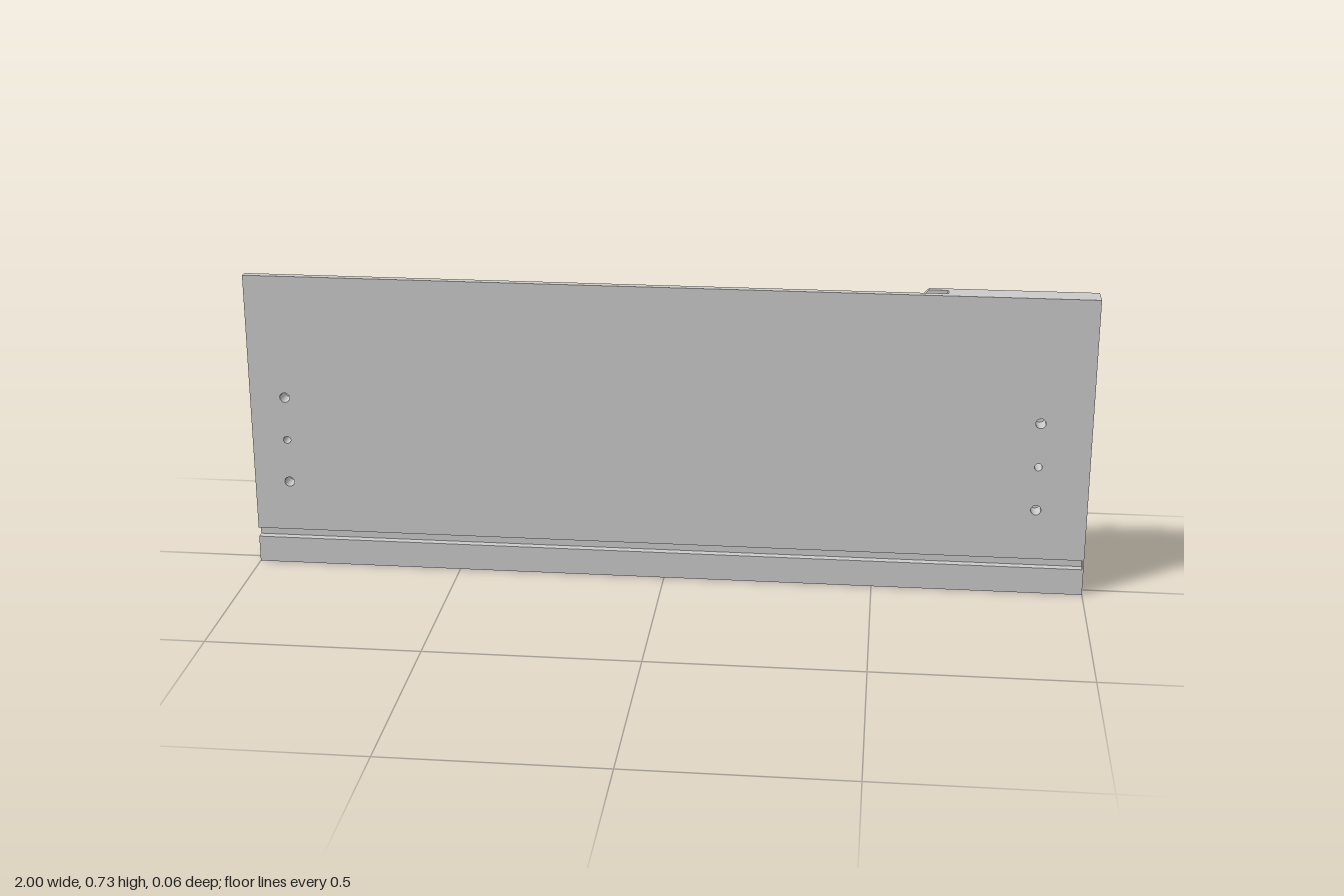
import * as THREE from 'three';

const H = 0.73, Z = 0.03;          // panel height, half thickness
const LEFT = -1, RIGHT = 0.996;    // board ends, the rest is edge banding
const Z_BACK = -0.015, Z_LIP = 0.011;
const GROOVE = [0.065, 0.088];     // bottom-panel groove, low and high edge

const material = new THREE.MeshStandardMaterial({ color: 0xcccccc });

export function createModel() {
  const group = new THREE.Group();
  group.name = 'drawerFront';

  // Extrude an xy outline between two depths
  const layer = (name, shape, z0, z1) => {
    const geo = new THREE.ExtrudeGeometry(shape, { depth: z1 - z0, bevelEnabled: false, curveSegments: 12 });
    geo.translate(0, 0, z0);
    const mesh = new THREE.Mesh(geo, material);
    mesh.name = name;
    group.add(mesh);
  };

  const rect = (y0, y1) => new THREE.Shape([
    new THREE.Vector2(LEFT, y0), new THREE.Vector2(RIGHT, y0),
    new THREE.Vector2(RIGHT, y1), new THREE.Vector2(LEFT, y1),
  ]);

  // Outline whose top drops in a concave curve from xEnd to xFlat
  const scooped = (xEnd, xFlat, yLow) => {
    const s = new THREE.Shape();
    s.moveTo(LEFT, 0);
    s.lineTo(RIGHT, 0);
    s.lineTo(RIGHT, H);
    s.lineTo(xEnd, H);
    s.quadraticCurveTo(xEnd - (xEnd - xFlat) * 0.45, yLow, xFlat, yLow);
    s.lineTo(LEFT, yLow);
    s.closePath();
    return s;
  };

  // Two columns of blind screw holes, the middle ones slightly smaller
  const drill = (shape) => {
    for (const x of [-0.915, 0.88]) {
      for (const [y, r] of [[0.212, 0.012], [0.32, 0.009], [0.428, 0.012]]) {
        const hole = new THREE.Path();
        hole.absarc(x, y, r, 0, Math.PI * 2, true);
        shape.holes.push(hole);
      }
    }
    return shape;
  };

  // Low back wall, finger channel core, and full-height front lip
  layer('backWall', scooped(0.61, 0.5, 0.675), -Z, Z_BACK);
  layer('channelCore', drill(scooped(0.655, 0.57, 0.65)), Z_BACK, Z_LIP);
  layer('frontFace', drill(rect(GROOVE[1], H)), Z_LIP, Z);
  layer('frontFoot', rect(0, GROOVE[0]), Z_LIP, Z);

  // Edge banding closing the groove on one end
  const band = new THREE.Mesh(new THREE.BoxGeometry(1 - RIGHT, H, 2 * Z), material);
  band.name = 'edgeBand';
  band.position.set((1 + RIGHT) / 2, H / 2, 0);
  group.add(band);

  return group;
}
